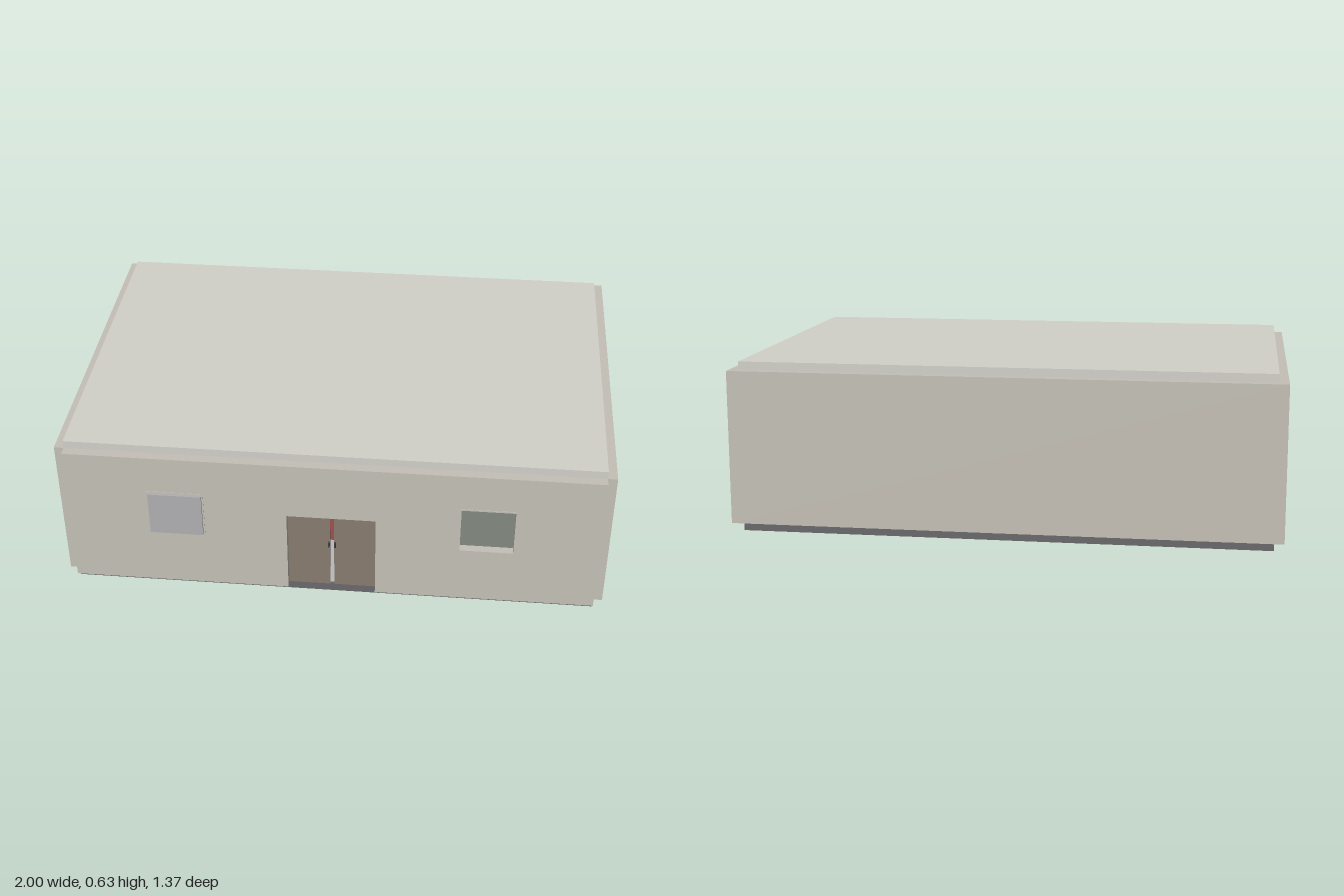
import * as THREE from 'three';

// Main planes of the building
const X = 0.965, T = 0.035, BACK = -0.65, FRONT = 0.64, FLOOR = 0.035, TOP = 0.6;

const paint = (color) => new THREE.MeshStandardMaterial({ color, flatShading: true });

export function createModel() {
  const model = new THREE.Group();
  const wallMat = paint(0xc4c0b6), roofMat = paint(0xd1d0c9), slabMat = paint(0x69686b);
  const doorMat = paint(0x887b6f), metalMat = paint(0x404040), trimMat = paint(0xc8c8c4);
  const shutterMat = paint(0xb0b0b3), glassMat = paint(0x838a80), redMat = paint(0xa05050);

  const add = (name, geometry, material, parent = model) => {
    const mesh = new THREE.Mesh(geometry, material);
    mesh.name = name;
    parent.add(mesh);
    return mesh;
  };
  // Box given by its lower and upper limits on each axis
  const box = (name, mat, x0, x1, y0, y1, z0, z1, parent) => {
    const g = new THREE.BoxGeometry(x1 - x0, y1 - y0, z1 - z0);
    g.translate((x0 + x1) / 2, (y0 + y1) / 2, (z0 + z1) / 2);
    return add(name, g, mat, parent);
  };
  // Upright wall panel; openings are [left, right, bottom, top], doors notch the lower edge
  const panel = (a, b, door, windows = []) => {
    const s = new THREE.Shape();
    s.moveTo(a, FLOOR);
    s.lineTo(door[0], FLOOR);
    s.lineTo(door[0], door[2]);
    s.lineTo(door[1], door[2]);
    s.lineTo(door[1], FLOOR);
    s.lineTo(b, FLOOR);
    s.lineTo(b, TOP);
    s.lineTo(a, TOP);
    s.closePath();
    for (const [l, r, lo, hi] of windows) {
      const h = new THREE.Path();
      h.moveTo(l, lo);
      h.lineTo(l, hi);
      h.lineTo(r, hi);
      h.lineTo(r, lo);
      h.closePath();
      s.holes.push(h);
    }
    return new THREE.ExtrudeGeometry(s, { depth: T, bevelEnabled: false });
  };

  // Floor slab and flat roof
  box('floorSlab', slabMat, -X, X, 0, FLOOR, BACK, FRONT);
  box('roof', roofMat, -X, X, TOP, 0.63, BACK, FRONT);

  // Walls: the back covers the corners, the front sits between the side walls
  box('backWall', wallMat, -1, 1, FLOOR, TOP, BACK - T, BACK);
  const front = panel(-X, X, [-0.163, 0.16, 0.375],
    [[-0.665, -0.47, 0.27, 0.447], [0.465, 0.658, 0.265, 0.45]]);
  add('frontWall', front.translate(0, 0, FRONT), wallMat);
  for (const side of [-1, 1]) {
    const wall = panel(BACK, FRONT, [-0.083, 0.075, 0.375]);
    wall.rotateY(-Math.PI / 2).translate(side > 0 ? 1 : -X, 0, 0);
    add(side > 0 ? 'leftWall' : 'rightWall', wall, wallMat);

    // Side door set back to the inner wall face
    const door = new THREE.Group();
    door.name = side > 0 ? 'leftDoor' : 'rightDoor';
    model.add(door);
    const d = side * (X - 0.003);
    box('doorLeaf', doorMat, d - 0.008, d + 0.008, FLOOR, 0.375, -0.083, 0.075, door);
    box('doorStop', metalMat, side * 0.99 - 0.006, side * 0.99 + 0.006, 0.048, 0.06, -0.083, -0.077, door);
  }

  // Double entrance door with a narrow strip between the leaves
  const entrance = new THREE.Group();
  entrance.name = 'entranceDoor';
  model.add(entrance);
  const ez = FRONT - 0.004;
  box('leafA', doorMat, -0.163, -0.009, FLOOR, 0.375, ez - 0.008, ez + 0.008, entrance);
  box('leafB', doorMat, 0.006, 0.16, FLOOR, 0.375, ez - 0.008, ez + 0.008, entrance);
  box('upperStrip', redMat, -0.009, 0.006, 0.24, 0.375, ez - 0.012, ez - 0.004, entrance);
  box('lowerStrip', trimMat, -0.009, 0.006, FLOOR, 0.24, ez - 0.012, ez - 0.004, entrance);
  for (const hx of [-0.013, 0.01])
    box('handle', metalMat, hx - 0.003, hx + 0.003, 0.22, 0.24, ez + 0.008, ez + 0.018, entrance);

  // Closed window panel standing proud of the front wall
  box('shutter', shutterMat, -0.665, -0.47, 0.27, 0.445, FRONT, 0.685);

  // Recessed window glass
  box('windowGlass', glassMat, 0.465, 0.658, 0.265, 0.45, FRONT - 0.004, FRONT + 0.006);

  // Thin trim around both windows
  const zf = FRONT + T;
  for (const [l, r, lo, hi] of [[-0.665, -0.47, 0.27, 0.447], [0.465, 0.658, 0.265, 0.45]]) {
    const trim = new THREE.Group();
    trim.name = 'windowTrim';
    model.add(trim);
    const w = 0.006, z1 = zf + 0.002;
    box('head', wallMat, l - w, r + w, hi, hi + w, zf, z1, trim);
    box('sill', wallMat, l - w, r + w, lo - w, lo, zf, z1, trim);
    box('jambA', wallMat, l - w, l, lo, hi, zf, z1, trim);
    box('jambB', wallMat, r, r + w, lo, hi, zf, z1, trim);
  }
  return model;
}
